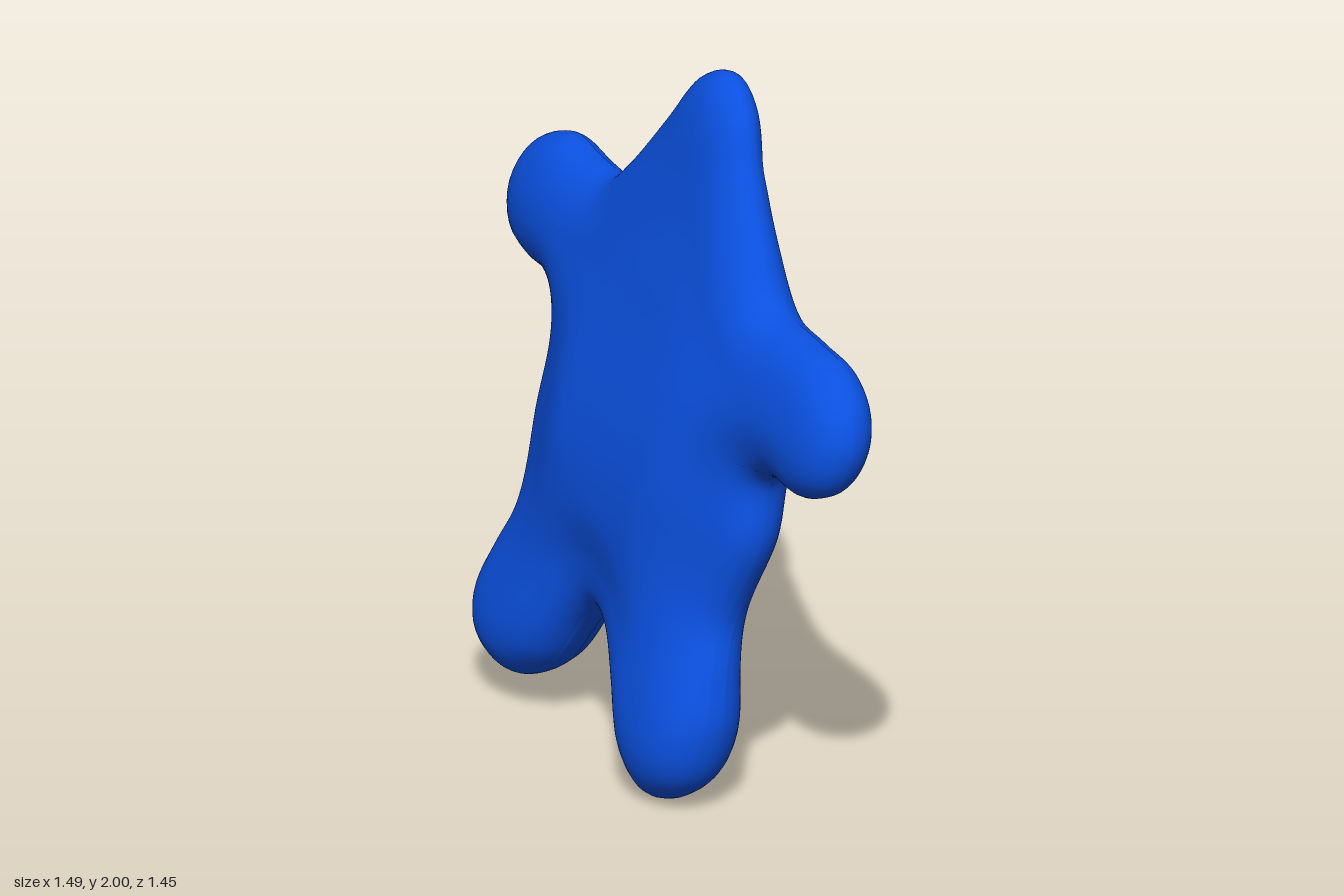
import * as THREE from 'three';

// Outline of the plush body in its own plane: [sideways, up], head first
const OUTLINE = [
  [0.05, 2.0], [0.17, 1.93], [0.25, 1.78], [0.36, 1.6], [0.48, 1.46], [0.66, 1.43], [0.84, 1.405], [0.96, 1.32],
  [1.0, 1.2], [0.95, 1.08], [0.82, 1.02], [0.66, 1.025], [0.585, 0.98], [0.58, 0.8], [0.5, 0.55],
  [0.53, 0.4], [0.555, 0.25], [0.5, 0.08], [0.334, 0.0], [0.19, 0.08], [0.09, 0.24], [-0.02, 0.37],
  [-0.1, 0.4], [-0.19, 0.34], [-0.34, 0.16], [-0.515, 0.08], [-0.69, 0.14], [-0.75, 0.28], [-0.7, 0.44],
  [-0.65, 0.56], [-0.665, 0.8], [-0.645, 1.06], [-0.69, 1.15], [-0.83, 1.17], [-0.95, 1.22], [-1.0, 1.35], [-0.94, 1.48],
  [-0.79, 1.55], [-0.62, 1.53], [-0.48, 1.53], [-0.38, 1.61], [-0.2, 1.81], [-0.07, 1.96],
];
const CENTER = [-0.05, 1.1];
const ACROSS = new THREE.Vector3(0.725, 0, 0.688);   // towards one arm
const OUT = new THREE.Vector3(0.688, 0, -0.725);     // towards the face side
const RAYS = 256, RINGS = 40, FINE = 3;

const curve = new THREE.CatmullRomCurve3(OUTLINE.map(([u, y]) => new THREE.Vector3(u, y, 0)), true);
curve.arcLengthDivisions = 2000;
const rim = curve.getSpacedPoints(RAYS * FINE).slice(0, -1);
const step = curve.getLength() / rim.length;
const smooth = THREE.MathUtils.smoothstep;
const bell = (x, width) => Math.exp(-((x / width) ** 2));

// Smoothed distance to the outline, without ridges along the limbs
function rimDistance(u, y) {
  let sum = 0;
  for (const p of rim) {
    const d2 = (p.x - u) ** 2 + (p.y - y) ** 2;
    sum += step / (d2 * d2 + 1e-14);
  }
  return Math.cbrt(Math.PI / 2 / sum);
}

// The body leans towards its face, with the feet set back
function lean(y) {
  return 0.17 * (y - 1.3) - 0.02 + 0.04 * smooth(y, 0.3, 0.8) - 0.02 * smooth(y, 1.2, 1.9);
}

// Offset of the face side (+1) or back side (-1) from the middle sheet
function bulge(u, y, side) {
  const d = rimDistance(u, y);
  const t = Math.min(d / 0.17, 1);
  const round = Math.sqrt(1 - (1 - t) ** 2);
  const full = 0.12 - 0.03 * smooth(y, 1.35, 1.8) + 0.03 * bell(y - 0.18, 0.2);
  const inner = smooth(d, 0.08, 0.36);
  if (side < 0) return -full * round - 0.085 * inner * bell(y - 0.85, 0.45);
  // Flat face with two shallow eye dimples
  const eye = (c) => bell(Math.hypot(u - c, y - 1.74), 0.04);
  return full * round - 0.015 * inner - 0.02 * (eye(-0.04) + eye(0.16));
}

function createBodyGeometry() {
  const positions = [], index = [];
  const add = (u, y, h) => {
    const n = lean(y) + h;
    positions.push(ACROSS.x * u + OUT.x * n, y, ACROSS.z * u + OUT.z * n);
    return positions.length / 3 - 1;
  };
  // Shared rim
  for (let j = 0; j < RAYS; j++) add(rim[j * FINE].x, rim[j * FINE].y, 0);

  // Face side, then back side
  for (const side of [1, -1]) {
    const tri = (a, b, c) => side > 0 ? index.push(a, b, c) : index.push(a, c, b);
    const middle = add(...CENTER, bulge(...CENTER, side));
    const first = middle + 1;
    for (let k = 1; k < RINGS; k++) {
      const s = Math.sin(Math.PI / 2 * k / RINGS);
      for (let j = 0; j < RAYS; j++) {
        const p = rim[j * FINE];
        const u = CENTER[0] + (p.x - CENTER[0]) * s, y = CENTER[1] + (p.y - CENTER[1]) * s;
        add(u, y, bulge(u, y, side));
      }
    }
    const at = (k, j) => k === RINGS ? j % RAYS : first + (k - 1) * RAYS + j % RAYS;
    for (let j = 0; j < RAYS; j++) {
      tri(middle, at(1, j), at(1, j + 1));
      for (let k = 1; k < RINGS; k++) {
        tri(at(k, j), at(k + 1, j), at(k + 1, j + 1));
        tri(at(k, j), at(k + 1, j + 1), at(k, j + 1));
      }
    }
  }
  const geometry = new THREE.BufferGeometry();
  geometry.setAttribute('position', new THREE.Float32BufferAttribute(positions, 3));
  geometry.setIndex(index);
  geometry.computeVertexNormals();
  return geometry;
}

export function createModel() {
  const blue = new THREE.MeshStandardMaterial({ color: 0x0b50e0 });
  blue.name = 'blue';
  const body = new THREE.Mesh(createBodyGeometry(), blue);
  body.name = 'plushBody';
  const group = new THREE.Group();
  group.name = 'starPlush';
  group.add(body);
  return group;
}
